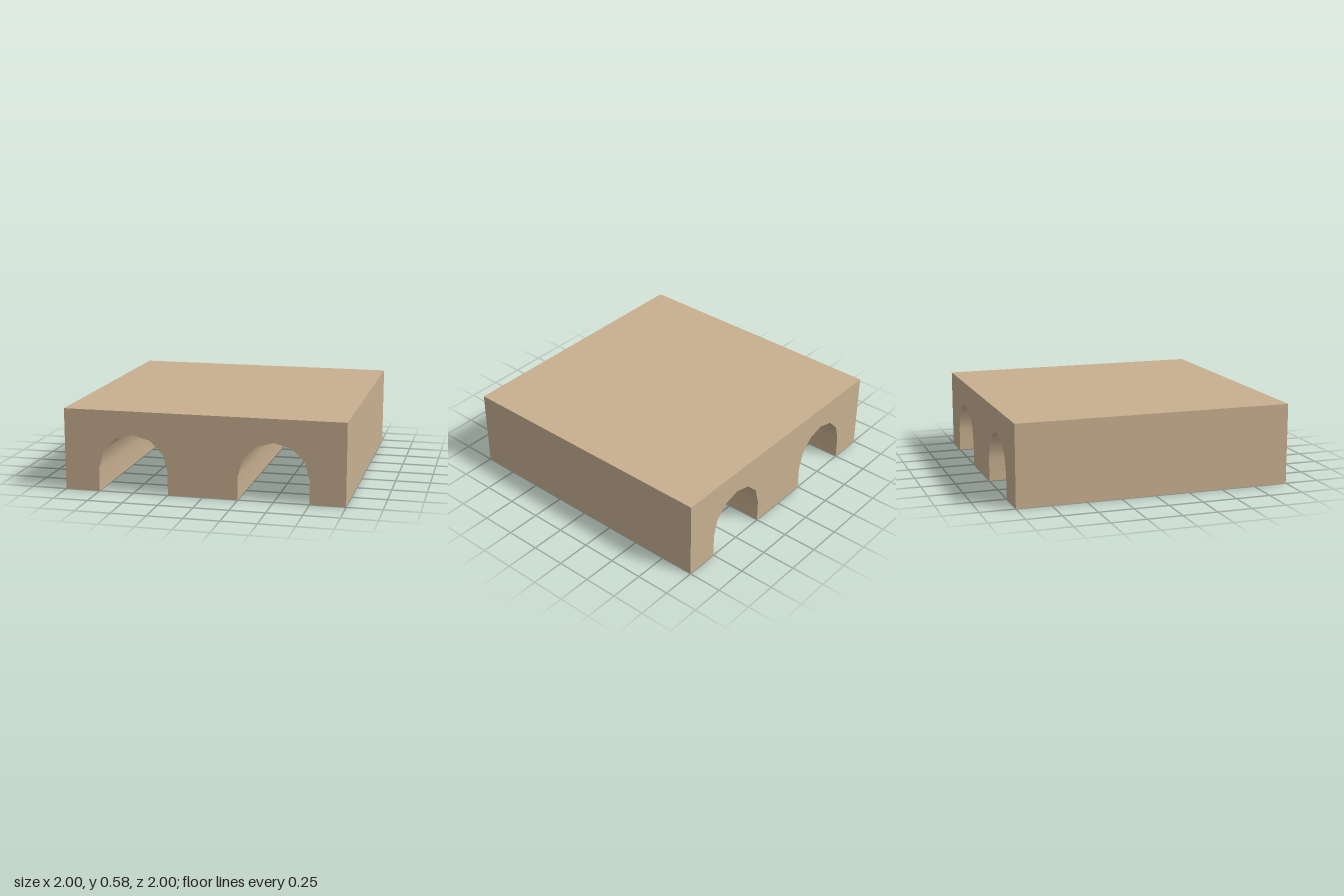
import * as THREE from 'three';

const H = 7 / 12, SPRING = 1 / 6, R = 0.25, SEGMENTS = 6, ARCHES = [-0.5, 0.5];

// Outline of one arch, from its left foot to its right foot
function archProfile(cx) {
  const pts = [new THREE.Vector2(cx - R, 0)];
  for (let i = 0; i <= SEGMENTS; i++) {
    const a = Math.PI * (1 - i / SEGMENTS);
    pts.push(new THREE.Vector2(cx + R * Math.cos(a), SPRING + R * Math.sin(a)));
  }
  pts.push(new THREE.Vector2(cx + R, 0));
  return pts;
}

export function createModel() {
  const group = new THREE.Group();
  group.name = 'twinArchBlock';
  const tan = new THREE.MeshStandardMaterial({ color: 0xc8b090, side: THREE.DoubleSide });
  tan.name = 'tan';

  const add = (name, geometry) => {
    const mesh = new THREE.Mesh(geometry, tan);
    mesh.name = name;
    group.add(mesh);
    return mesh;
  };

  // Top slab surface; the block is a thin shell, open underneath
  add('top', new THREE.PlaneGeometry(2, 2).rotateX(-Math.PI / 2).translate(0, H, 0));

  // Side walls
  for (const s of [-1, 1]) {
    add(s > 0 ? 'leftWall' : 'rightWall',
      new THREE.PlaneGeometry(2, H).rotateY(s * Math.PI / 2).translate(s, H / 2, 0));
  }

  // Front and back walls with the arch openings cut from the lower edge
  const face = new THREE.Shape([
    new THREE.Vector2(-1, 0),
    ...ARCHES.flatMap(archProfile),
    new THREE.Vector2(1, 0), new THREE.Vector2(1, H), new THREE.Vector2(-1, H),
  ]);
  add('frontWall', new THREE.ShapeGeometry(face).translate(0, 0, 1));
  add('backWall', new THREE.ShapeGeometry(face).rotateY(Math.PI).translate(0, 0, -1));

  // Smooth tunnel vaults: a plane bent along each arch outline
  for (const cx of ARCHES) {
    const profile = archProfile(cx), n = profile.length;
    const vault = new THREE.PlaneGeometry(1, 1, n - 1, 1);
    const pos = vault.attributes.position;
    for (let i = 0; i < pos.count; i++) {
      const p = profile[i % n];
      pos.setXYZ(i, p.x, p.y, i < n ? 1 : -1);
    }
    vault.computeVertexNormals();
    add(cx > 0 ? 'leftVault' : 'rightVault', vault);
  }
  return group;
}
